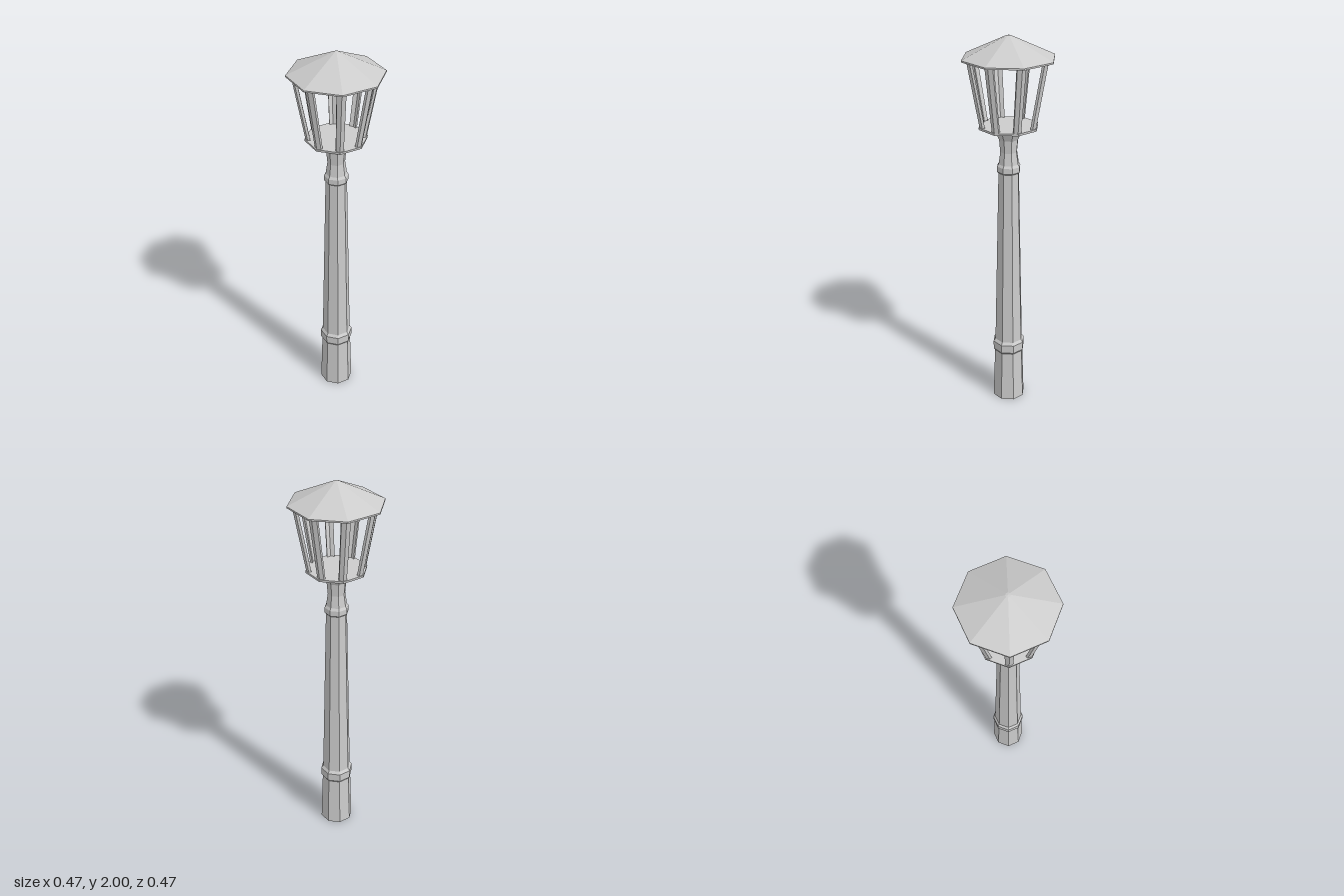
import * as THREE from 'three';

const SIDES = 8;
const material = new THREE.MeshStandardMaterial({ color: 0xcccccc, flatShading: true });

// Octagonal solid from [radius, height] pairs, listed bottom to top
function octagonal(name, profile) {
  const points = profile.map(([r, y]) => new THREE.Vector2(r, y));
  const mesh = new THREE.Mesh(new THREE.LatheGeometry(points, SIDES), material);
  mesh.name = name;
  return mesh;
}

// Corner bar with a chevron section, leaning outwards towards the roof
function cornerBarGeometry(bottomY, topY, bottomR, topR) {
  const half = 0.022, fold = 0.009, thick = 0.013;
  const section = new THREE.Shape([
    [0, 0], [half, fold], [half, fold + thick],
    [0, thick], [-half, fold + thick], [-half, fold],
  ].map(([x, y]) => new THREE.Vector2(x, y)));
  const height = topY - bottomY;
  const geometry = new THREE.ExtrudeGeometry(section, { depth: height, bevelEnabled: false });
  geometry.rotateX(-Math.PI / 2);
  const p = geometry.attributes.position;
  for (let i = 0; i < p.count; i++) {
    const t = p.getY(i) / height;
    p.setX(i, p.getX(i) * (0.85 + 0.15 * t));
    p.setZ(i, p.getZ(i) + THREE.MathUtils.lerp(bottomR, topR, t));
  }
  geometry.translate(0, bottomY, 0);
  geometry.computeVertexNormals();
  return geometry;
}

export function createModel() {
  const model = new THREE.Group();
  model.name = 'lampPost';

  // Post: base, lower collar, tapering shaft, upper collar, flared neck
  model.add(octagonal('post', [
    [0, 0], [0.087, 0], [0.078, 0.285],
    [0.085, 0.295], [0.086, 0.34], [0.075, 0.355],
    [0.054, 1.31], [0.061, 1.317], [0.061, 1.345], [0.053, 1.357],
    [0.044, 1.42], [0.05, 1.485], [0.074, 1.535], [0, 1.535],
  ]));

  // Lantern: floor plate, eight corner bars, roof
  const lantern = new THREE.Group();
  lantern.name = 'lantern';
  lantern.add(octagonal('lanternFloor', [
    [0, 1.545], [0.153, 1.545], [0.154, 1.556], [0, 1.556],
  ]));

  const barGeometry = cornerBarGeometry(1.554, 1.888, 0.149, 0.211);
  for (let i = 0; i < SIDES; i++) {
    const bar = new THREE.Mesh(barGeometry, material);
    bar.name = 'cornerBar';
    bar.rotation.y = (i / SIDES) * Math.PI * 2;
    lantern.add(bar);
  }

  lantern.add(octagonal('roof', [
    [0, 1.885], [0.236, 1.885], [0.236, 1.893], [0.012, 1.998], [0, 2],
  ]));
  model.add(lantern);

  return model;
}
